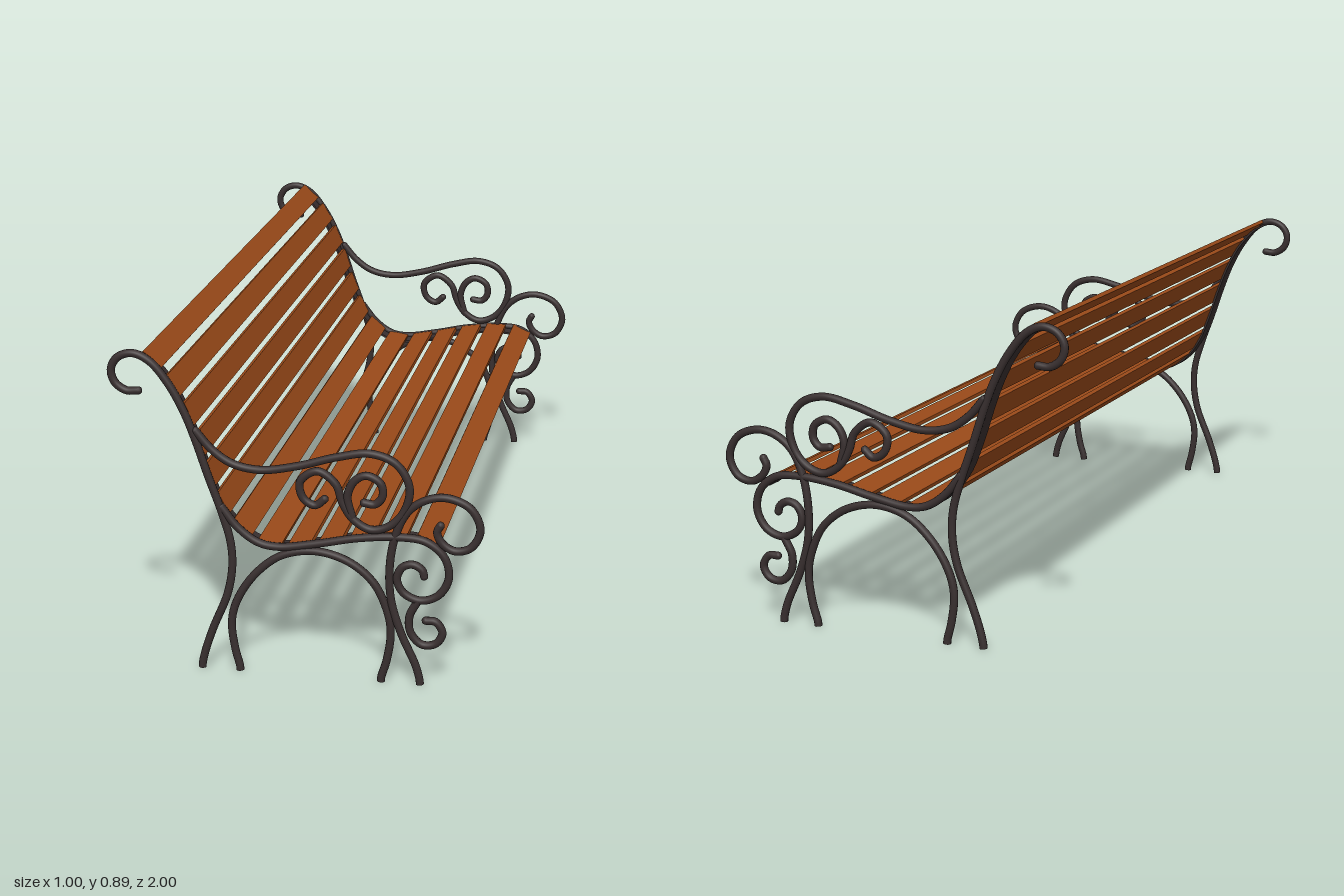
import * as THREE from 'three';

const R = 0.0108; // iron bar radius
const END_Z = 0.989; // z of the two end frames

// Bar centre lines as [x, y] in the plane of an end frame
const BARS = {
  backLegAndTopScroll: [[-.417, .773], [-.45, .772], [-.48, .793], [-.489, .828], [-.47, .861], [-.43, .874], [-.385, .855],
    [-.335, .795], [-.295, .72], [-.268, .65], [-.235, .55], [-.2, .45], [-.178, .37], [-.174, .3], [-.188, .22],
    [-.23, .115], [-.252, .05], [-.261, .012], [-.262, 0]],
  legArch: [[-.157, 0], [-.158, .012], [-.17, .06], [-.178, .14], [-.161, .205], [-.11, .283], [-.04, .339], [.05, .358],
    [.14, .335], [.207, .28], [.244, .2], [.253, .14], [.242, .06], [.228, .012], [.227, 0]],
  frontLegAndScroll: [[.332, 0], [.331, .012], [.32, .053], [.279, .147], [.253, .24], [.25, .334], [.266, .422],
    [.298, .487], [.346, .522], [.4, .531], [.461, .506], [.487, .449], [.463, .398], [.42, .386], [.386, .407],
    [.374, .435], [.383, .454]],
  armrest: [[-.266, .672], [-.223, .623], [-.17, .588], [-.095, .575], [.004, .592], [.111, .624], [.199, .639],
    [.266, .615], [.301, .553], [.285, .482], [.245, .441], [.197, .43], [.151, .457], [.124, .5], [.106, .55],
    [.058, .582], [.012, .55], [.02, .505], [.052, .487], [.077, .506]],
  armrestScroll: [[.15, .46], [.138, .519], [.156, .561], [.188, .578], [.225, .559], [.23, .524], [.211, .501], [.181, .503]],
  seatRailAndScroll: [[-.201, .465], [-.156, .409], [-.103, .372], [-.05, .363], [.057, .38], [.164, .403], [.271, .414],
    [.346, .406], [.394, .366], [.406, .307], [.378, .257], [.33, .24], [.285, .26], [.269, .297], [.283, .33],
    [.311, .34], [.336, .326], [.341, .309]],
  lowerScroll: [[.325, .238], [.303, .193], [.306, .147], [.336, .115], [.373, .12], [.391, .152], [.373, .182], [.346, .184]],
};

// Line followed by the slats, from the top of the back to the seat front
const SLAT_LINE = [[-.411, .869], [-.385, .853], [-.335, .795], [-.295, .72], [-.268, .65], [-.235, .55], [-.2, .465],
  [-.156, .407], [-.103, .372], [-.05, .363], [.057, .38], [.164, .403], [.271, .414], [.346, .404], [.374, .384]];

const curveOf = (pts) => new THREE.CatmullRomCurve3(pts.map(([x, y]) => new THREE.Vector3(x, y, 0)));

export function createModel() {
  const iron = new THREE.MeshStandardMaterial({ color: 0x382f2f });
  iron.name = 'dark iron';
  const wood = new THREE.MeshStandardMaterial({ color: 0x9a4a19 });
  wood.name = 'brown wood';

  const model = new THREE.Group();
  model.name = 'parkBench';
  const add = (parent, name, geometry, material) => {
    const mesh = new THREE.Mesh(geometry, material);
    mesh.name = name;
    parent.add(mesh);
    return mesh;
  };

  const slatCurve = curveOf(SLAT_LINE);
  slatCurve.arcLengthDivisions = 400;
  // Point on the slat line, moved along its sitting-side normal
  const offsetPoint = (u, d) => {
    const p = slatCurve.getPointAt(u), t = slatCurve.getTangentAt(u);
    return new THREE.Vector2(p.x - t.y * d, p.y + t.x * d);
  };

  // Flat strap behind the slats
  const N = 50, outline = [];
  for (let i = 0; i <= N; i++) outline.push(offsetPoint(i / N, -0.009));
  for (let i = N; i >= 0; i--) outline.push(offsetPoint(i / N, -0.003));
  const strapGeometry = new THREE.ExtrudeGeometry(new THREE.Shape(outline), { depth: 0.053, bevelEnabled: false });

  // End frames: bent round bars with rounded tips and flat feet, plus the strap
  const tipGeometry = new THREE.SphereGeometry(R, 12, 8);
  const footGeometry = new THREE.CircleGeometry(R, 12).rotateX(Math.PI / 2);
  for (const side of [1, -1]) {
    const frame = new THREE.Group();
    frame.name = side > 0 ? 'frontEndFrame' : 'backEndFrame';
    for (const [name, pts] of Object.entries(BARS)) {
      add(frame, name, new THREE.TubeGeometry(curveOf(pts), pts.length * 8, R, 12), iron);
      for (const [x, y] of [pts[0], pts.at(-1)]) {
        const end = y === 0 ? add(frame, 'foot', footGeometry, iron) : add(frame, 'barTip', tipGeometry, iron);
        end.position.set(x, y, 0);
      }
    }
    frame.position.z = side * END_Z;
    model.add(frame);
    add(model, 'slatStrap', strapGeometry, iron).position.z = side > 0 ? 0.932 : -0.985;
  }

  // Evenly spaced slats over the back and seat
  const COUNT = 13, WIDTH = 0.064, length = slatCurve.getLength();
  const slatGeometry = new THREE.BoxGeometry(WIDTH, 0.011, 1.966);
  for (let i = 0; i < COUNT; i++) {
    const u = (WIDTH / 2 + i * (length - WIDTH) / (COUNT - 1)) / length;
    const p = offsetPoint(u, 0.0025), t = slatCurve.getTangentAt(u);
    const slat = add(model, i < 7 ? 'backSlat' : 'seatSlat', slatGeometry, wood);
    slat.position.set(p.x, p.y, 0);
    slat.rotation.z = Math.atan2(t.y, t.x);
  }
  return model;
}
